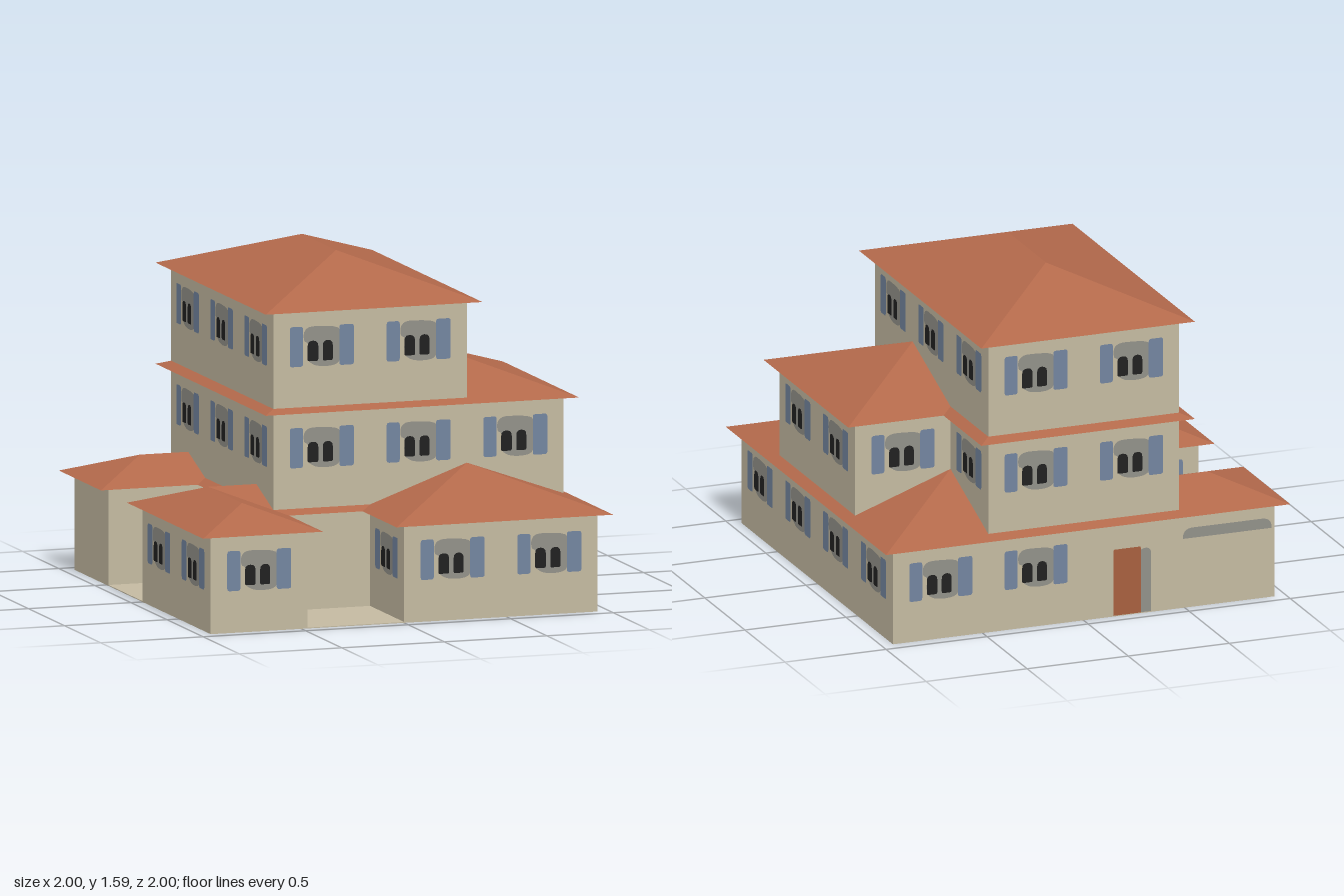
import * as THREE from 'three';

const M = 0.4717;      // wall module and storey height
const OVER = 0.0566;   // eave overhang
const PITCH = 0.357;
const EAVE = -0.0145;  // eave height relative to the storey top

const paint = (name, color) => {
  const m = new THREE.MeshStandardMaterial({ color });
  m.name = name;
  return m;
};

// Closed hip roof over a wall rectangle, with flat soffit
function hipRoof(x0, x1, z0, z1, y) {
  x0 -= OVER; x1 += OVER; z0 -= OVER; z1 += OVER;
  const run = Math.min(x1 - x0, z1 - z0) / 2, top = y + run * PITCH;
  const alongX = x1 - x0 >= z1 - z0;
  const points = [
    x0, y, z0, x1, y, z0, x1, y, z1, x0, y, z1,
    x0 + run, top, z0 + run, x1 - run, top, z1 - run,
  ];
  const slopes = alongX
    ? [3, 2, 5, 3, 5, 4, 1, 0, 4, 1, 4, 5, 0, 3, 4, 2, 1, 5]
    : [0, 3, 5, 0, 5, 4, 2, 1, 4, 2, 4, 5, 3, 2, 5, 1, 0, 4];
  const g = new THREE.BufferGeometry();
  g.setAttribute('position', new THREE.Float32BufferAttribute(points, 3));
  g.setIndex([...slopes, 0, 1, 2, 0, 2, 3]);
  const flat = g.toNonIndexed();
  flat.computeVertexNormals();
  return flat;
}

// Flat plate with rounded corners; r is [bottom radius, top radius]
function plate(x0, x1, y0, y1, [b, t]) {
  const s = new THREE.Shape();
  s.moveTo(x0 + b, y0);
  s.lineTo(x1 - b, y0);
  s.quadraticCurveTo(x1, y0, x1, y0 + b);
  s.lineTo(x1, y1 - t);
  s.quadraticCurveTo(x1, y1, x1 - t, y1);
  s.lineTo(x0 + t, y1);
  s.quadraticCurveTo(x0, y1, x0, y1 - t);
  s.lineTo(x0, y0 + b);
  s.quadraticCurveTo(x0, y0, x0 + b, y0);
  return s;
}

export function createModel() {
  const model = new THREE.Group();
  model.name = 'house';
  const wall = paint('plaster', 0xc4baa1);
  const roof = paint('terracotta', 0xb3694b);
  const grey = paint('greySurround', 0x929189);
  const blue = paint('shutterBlue', 0x73859f);
  const dark = paint('darkGlass', 0x212121);
  const brown = paint('doorBrown', 0xa8603f);

  const add = (name, geometry, material, parent = model) => {
    const mesh = new THREE.Mesh(geometry, material);
    mesh.name = name;
    parent.add(mesh);
    return mesh;
  };

  // Walls: rectangles [x0, x1, z0, z1] in modules, per storey
  const storeys = [
    [[-1, 1, -2, 1], [0, 2, -2, 2], [-2, -1, 0, 2], [-2, -1, -2, -1]],
    [[-1, 1, -2, 1], [0, 2, -1, 1]],
    [[-1, 1, -2, 1]],
  ];
  storeys.forEach((rects, level) => {
    for (const [x0, x1, z0, z1] of rects) {
      const y0 = level ? level * M - 0.01 : 0, y1 = (level + 1) * M;
      const g = new THREE.BoxGeometry((x1 - x0) * M, y1 - y0, (z1 - z0) * M);
      g.translate((x0 + x1) * M / 2, (y0 + y1) / 2, (z0 + z1) * M / 2);
      add('storeyWalls' + (level + 1), g, wall);
    }
  });
  const slab = new THREE.BoxGeometry(4 * M, 0.004, 4 * M);
  add('courtyardFloor', slab.translate(0, 0.002, 0), wall);

  // Roofs: overlapping hips joined into valleys and skirts
  const roofs = [
    [[-1, 1, -2, 1], [0, 2, -2, 2], [-2, -1, 0, 2], [-2, 1, 0, 1], [-2, 1, -2, -1]],
    [[-1, 1, -2, 1], [-1, 2, -1, 1]],
    [[-1, 1, -2, 1]],
  ];
  roofs.forEach((rects, level) => {
    for (const r of rects) {
      add('roof' + (level + 1), hipRoof(...r.map(v => v * M), (level + 1) * M + EAVE), roof);
    }
  });

  // Window parts, centred on a wall bay and standing on its floor line
  const surround = new THREE.Shape();
  surround.moveTo(-0.06, 0.215);
  surround.splineThru([
    [-0.03, 0.198], [0.02, 0.192], [0.07, 0.2], [0.088, 0.23], [0.088, 0.345],
    [0.07, 0.372], [0, 0.38], [-0.06, 0.378], [-0.086, 0.355], [-0.086, 0.315],
    [-0.068, 0.3], [-0.07, 0.25], [-0.06, 0.215],
  ].map(p => new THREE.Vector2(...p)));
  const surroundGeo = new THREE.ShapeGeometry(surround, 3);
  const shutterGeo = new THREE.ShapeGeometry([
    plate(-0.156, -0.092, 0.195, 0.382, [0.012, 0.012]),
    plate(0.085, 0.156, 0.193, 0.382, [0.012, 0.012]),
  ], 3);
  const paneGeo = new THREE.ShapeGeometry([
    plate(-0.07, -0.018, 0.219, 0.314, [0.008, 0.025]),
    plate(0.004, 0.053, 0.219, 0.314, [0.008, 0.025]),
  ], 3);

  // Empty group on a wall bay; side is the direction the wall faces
  const turn = { front: 0, right: Math.PI / 2, back: Math.PI, left: -Math.PI / 2 };
  const bay = (name, side, x, z, level) => {
    const g = new THREE.Group();
    g.name = name;
    g.position.set(x * M, level * M, z * M);
    g.rotation.y = turn[side];
    model.add(g);
    return g;
  };
  const windowAt = (side, x, z, level) => {
    const g = bay('window', side, x, z, level);
    add('surround', surroundGeo, grey, g).position.z = 0.002;
    add('shutters', shutterGeo, blue, g).position.z = 0.003;
    add('panes', paneGeo, dark, g).position.z = 0.004;
  };

  // Ground storey windows
  for (const x of [-1.5, 0.5, 1.5]) windowAt('front', x, 2, 0);
  for (const z of [-1.5, -0.5, 0.5, 1.5]) windowAt('right', 2, z, 0);
  for (const x of [0.5, 1.5]) windowAt('back', x, -2, 0);
  for (const z of [0.5, 1.5]) windowAt('left', -2, z, 0);
  windowAt('right', -1, 1.5, 0);
  windowAt('left', 0, 1.5, 0);
  windowAt('back', -1.5, 0, 0);

  // Upper storey windows
  for (const level of [1, 2]) {
    for (const x of [-0.5, 0.5]) {
      windowAt('front', x, 1, level);
      windowAt('back', x, -2, level);
    }
    for (const z of [-1.5, -0.5, 0.5]) {
      windowAt('left', -1, z, level);
      if (level === 2 || z === -1.5) windowAt('right', 1, z, level);
    }
  }
  windowAt('front', 1.5, 1, 1);
  windowAt('back', 1.5, -1, 1);
  for (const z of [-0.5, 0.5]) windowAt('right', 2, z, 1);

  // Back door with side panel, and garage door
  const entry = bay('entry', 'back', -0.5, -2, 0);
  const doorShape = plate(-0.09, 0.046, 0.005, 0.325, [0, 0.008]);
  const panelShape = plate(0.04, 0.098, 0.005, 0.315, [0, 0.03]);
  add('door', new THREE.ShapeGeometry(doorShape), brown, entry).position.z = 0.004;
  add('doorSidePanel', new THREE.ShapeGeometry(panelShape), grey, entry).position.z = 0.002;
  const garage = bay('garage', 'back', -1.5, -2, 0);
  const garageShape = plate(-0.218, 0.222, 0.005, 0.385, [0, 0.05]);
  add('garageDoor', new THREE.ShapeGeometry(garageShape), grey, garage).position.z = 0.003;

  return model;
}
